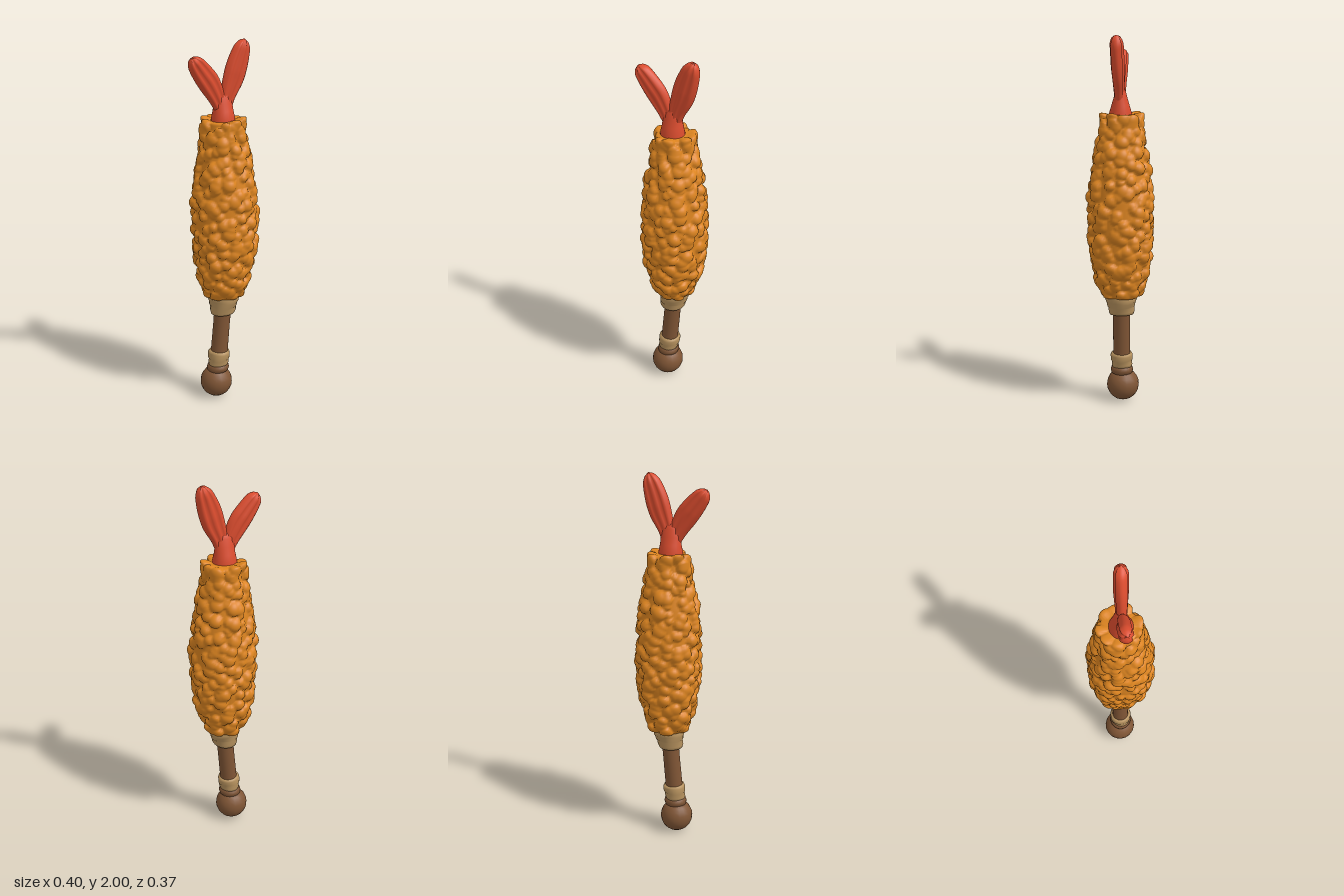
import * as THREE from 'three';

const mat = (name, color) => {
  const m = new THREE.MeshStandardMaterial({ color });
  m.name = name;
  return m;
};

// closed-around surface: fn(t, angle) gives a point, t runs from base to tip
function loft(rows, cols, fn) {
  const pos = [], idx = [];
  for (let i = 0; i <= rows; i++)
    for (let j = 0; j < cols; j++) pos.push(...fn(i / rows, (j / cols) * Math.PI * 2));
  for (let i = 0; i < rows; i++)
    for (let j = 0; j < cols; j++) {
      const k = (j + 1) % cols;
      const a = i * cols + j, b = a + cols, c = i * cols + k, d = c + cols;
      idx.push(a, b, c, c, b, d);
    }
  const g = new THREE.BufferGeometry();
  g.setAttribute('position', new THREE.Float32BufferAttribute(pos, 3));
  g.setIndex(idx);
  g.computeVertexNormals();
  return g;
}

// smooth curve through [a, b, c] points
const curve = (pts) => new THREE.CatmullRomCurve3(pts.map((p) => new THREE.Vector3(...p)));

function randomizer(seed) {
  return () => {
    seed = (seed * 1664525 + 1013904223) % 4294967296;
    return seed / 4294967296;
  };
}

// batter: spindle covered with rounded crumbs
function batterGeometry() {
  const rand = randomizer(11);
  const y0 = 0.615, y1 = 1.585;
  const radii = [0.092, 0.122, 0.143, 0.155, 0.161, 0.163, 0.16, 0.153, 0.14, 0.122, 0.105, 0.094];
  const radius = (y) => {
    const f = THREE.MathUtils.clamp((y - y0) / (y1 - y0), 0, 1) * (radii.length - 1);
    const i = Math.min(Math.floor(f), radii.length - 2);
    return THREE.MathUtils.lerp(radii[i], radii[i + 1], f - i);
  };
  const crumbs = [];
  const n = 420;
  for (let i = 0; i < n; i++) {
    const y = y0 + ((i + rand()) / n) * (y1 - y0);
    const a = i * 2.39996 + (rand() - 0.5) * 0.9;
    const r = radius(y);
    crumbs.push({ x: Math.cos(a) * r, y, z: Math.sin(a) * r, s: 0.02 + rand() * 0.018, h: 0.5 + rand() * 0.35 });
  }
  return loft(150, 120, (t, a) => {
    // the first and last rows close the ends
    const s = THREE.MathUtils.clamp((t - 0.05) / 0.9, 0, 1);
    const end = Math.min(1, t / 0.05, (1 - t) / 0.05);
    const y = y0 + s * (y1 - y0);
    const r = radius(y) * Math.sqrt(end);
    const c = Math.cos(a), d = Math.sin(a);
    let lift = 0;
    for (const b of crumbs) {
      const dy = y - b.y;
      if (Math.abs(dy) > b.s) continue;
      const q = ((c * r - b.x) ** 2 + dy * dy + (d * r - b.z) ** 2) / (b.s * b.s);
      if (q < 1) lift = Math.max(lift, b.h * b.s * Math.sqrt(1 - q));
    }
    const cap = (1 - end) * (s > 0.5 ? 0.012 : -0.008);
    const up = s > 0.95 ? lift * 0.7 : 0;
    const bend = 0.012 * Math.sin(Math.PI * s);
    return [0.01 + bend * 0.3 + c * (r + lift), y + cap + up, -0.006 + bend * 0.4 + d * (r + lift)];
  });
}

// tail fin: ribbed leaf along a spine of [x, y, half width]
function finGeometry(spine) {
  const path = curve(spine);
  return loft(26, 36, (t, a) => {
    const p = path.getPoint(t), d = path.getTangent(t);
    const len = Math.hypot(d.x, d.y) || 1;
    const tip = Math.sqrt(Math.max(0, 1 - Math.max(0, (t - 0.82) / 0.18) ** 2));
    const c = Math.cos(a), s = Math.sin(a);
    const w = p.z * c * tip;
    const ribs = 0.86 + 0.14 * Math.cos(c * Math.PI * 3);
    const thick = (0.024 + 0.012 * Math.min(1, t * 2)) * tip * ribs;
    const h = Math.sign(s) * Math.abs(s) ** 0.8 * thick;
    return [p.x + (d.y / len) * w, p.y - (d.x / len) * w, 0.003 + 0.007 * t + h];
  });
}

// round part following rows of [y, radius], leaning with the handle
const leanX = (y) => -0.043 + 0.09 * y;
function handleGeometry(rows, cols = 24, wobble = 0) {
  return loft(rows.length - 1, cols, (t, a) => {
    const [y, r] = rows[Math.round(t * (rows.length - 1))];
    const k = r * (1 + wobble * Math.sin(a * 3 + y * 60));
    const tilt = wobble * 0.12 * Math.sin(a + y * 40);
    return [leanX(y) + Math.cos(a) * k, y + tilt, -0.005 + Math.sin(a) * k];
  });
}

export function createModel() {
  const group = new THREE.Group();
  group.name = 'friedPrawnClub';
  const batter = mat('golden batter', 0xdc8420);
  const red = mat('tail red', 0xdb4c2e);
  const wood = mat('brown wood', 0x7f5535);
  const cloth = mat('tan wrapping', 0xb8935f);
  const add = (name, geometry, material) => {
    const m = new THREE.Mesh(geometry, material);
    m.name = name;
    group.add(m);
    return m;
  };

  add('batter', batterGeometry(), batter);

  // tail
  const stem = [[1.55, 0.066, 0.062], [1.6, 0.064, 0.06], [1.64, 0.056, 0.048], [1.68, 0.052, 0.036], [1.72, 0.045, 0.026], [1.745, 0.022, 0.014], [1.75, 0, 0]];
  add('tailStem', loft(stem.length - 1, 24, (t, a) => {
    const [y, rx, rz] = stem[Math.round(t * (stem.length - 1))];
    return [0.003 + Math.cos(a) * rx, y, Math.sin(a) * rz];
  }), red);
  add('leftTailFin', finGeometry([[0.01, 1.63, 0.03], [0.03, 1.72, 0.045], [0.06, 1.8, 0.06], [0.082, 1.87, 0.061], [0.105, 1.94, 0.05], [0.126, 2.0, 0.034]]), red);
  add('rightTailFin', finGeometry([[-0.005, 1.63, 0.03], [-0.036, 1.71, 0.046], [-0.078, 1.785, 0.059], [-0.12, 1.84, 0.056], [-0.158, 1.888, 0.046], [-0.187, 1.925, 0.03]]), red);

  // handle
  add('handleShaft', handleGeometry([[0.12, 0.048], [0.3, 0.047], [0.45, 0.046], [0.6, 0.048]]), wood);
  add('handleCollar', handleGeometry([[0.155, 0.045], [0.165, 0.058], [0.182, 0.062], [0.198, 0.057], [0.205, 0.045]]), wood);
  const knob = add('knob', new THREE.SphereGeometry(0.089, 18, 12), wood);
  knob.position.set(-0.035, 0.093, -0.01);

  // cloth wrappings
  add('lowerWrapping', handleGeometry([[0.197, 0.045], [0.199, 0.053], [0.212, 0.057], [0.232, 0.055], [0.238, 0.06], [0.268, 0.061], [0.28, 0.056], [0.281, 0.045]], 24, 0.025), cloth);
  add('upperWrapping', handleGeometry([[0.508, 0.045], [0.51, 0.065], [0.525, 0.071], [0.55, 0.071], [0.556, 0.076], [0.58, 0.079], [0.586, 0.083], [0.608, 0.086], [0.618, 0.08], [0.62, 0.04]], 24, 0.025), cloth);

  return group;
}
